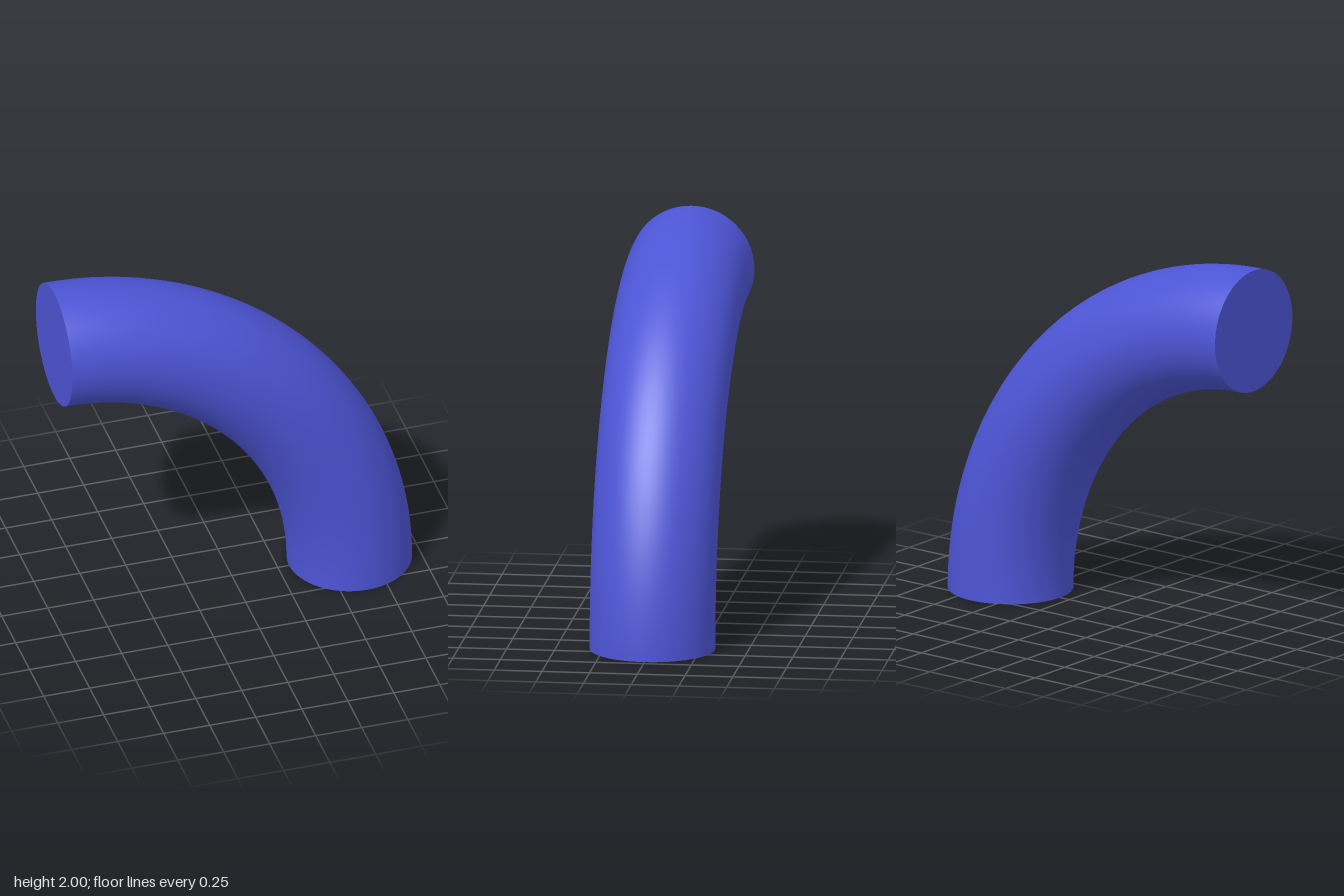
import * as THREE from 'three';

const TUBE_RADIUS = 0.327;
const RUN = 1.603;   // horizontal reach of the centre line
const RISE = 1.673;  // height of the centre line
const LEFT = -0.965; // x of the upper open end

// Quarter-ellipse centre line, from the foot up to the side opening
class ElbowPath extends THREE.Curve {
  getPoint(t, target = new THREE.Vector3()) {
    const a = t * Math.PI / 2;
    return target.set(LEFT + RUN * Math.cos(a), RISE * Math.sin(a), 0);
  }
}

export function createModel() {
  const model = new THREE.Group();
  model.name = 'pipeElbow';
  const material = new THREE.MeshStandardMaterial({ color: 0x4d55d6 });

  function add(name, geometry) {
    const mesh = new THREE.Mesh(geometry, material);
    mesh.name = name;
    model.add(mesh);
    return mesh;
  }

  // Curved body
  add('bentPipe', new THREE.TubeGeometry(new ElbowPath(), 96, TUBE_RADIUS, 64, false));

  // Flat end faces: one looks down, the other towards -x
  const cap = new THREE.CircleGeometry(TUBE_RADIUS, 64);
  const foot = add('bottomEnd', cap);
  foot.position.set(LEFT + RUN, 0, 0);
  foot.rotation.x = Math.PI / 2;

  const side = add('sideEnd', cap);
  side.position.set(LEFT, RISE, 0);
  side.rotation.y = -Math.PI / 2;

  return model;
}
